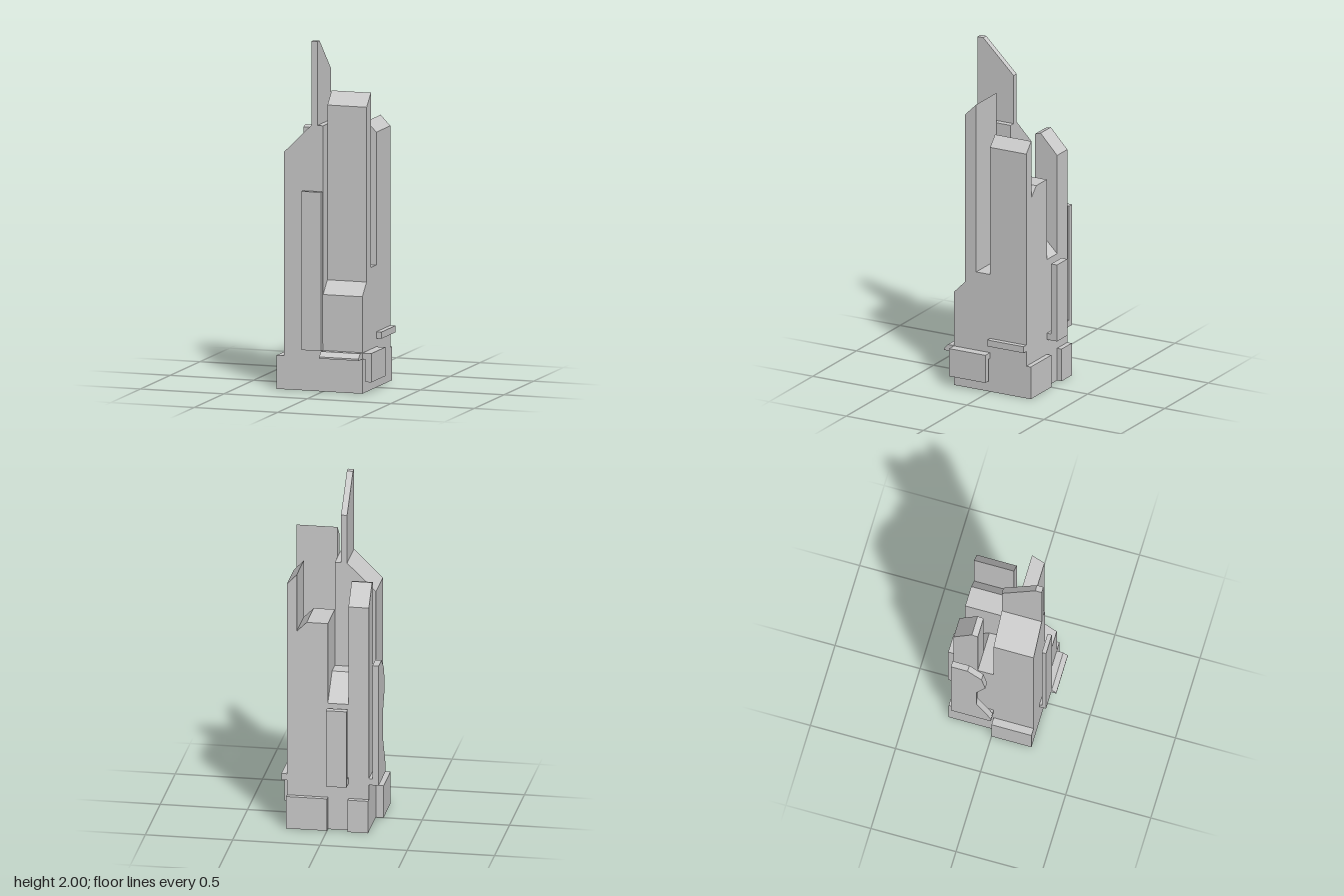
import * as THREE from 'three';

const W = 0.235; // half width of the tower

export function createModel() {
  const group = new THREE.Group();
  group.name = 'tower';
  const stone = new THREE.MeshStandardMaterial({ color: 0xcccccc });
  stone.name = 'light grey stone';

  const add = (name, geometry) => {
    const mesh = new THREE.Mesh(geometry, stone);
    mesh.name = name;
    group.add(mesh);
  };
  const extrude = (points, depth) => new THREE.ExtrudeGeometry(
    new THREE.Shape(points.map(([u, v]) => new THREE.Vector2(u, v))),
    { depth, bevelEnabled: false });

  // profile of (x, y) points, swept from z0 to z1
  const alongZ = (name, z0, z1, points) =>
    add(name, extrude(points, z1 - z0).translate(0, 0, z0));
  // profile of (z, y) points, swept from x0 to x1
  const alongX = (name, x0, x1, points) =>
    add(name, extrude(points, x1 - x0).rotateY(-Math.PI / 2).translate(x1, 0, 0));
  const box = (name, x0, x1, y0, y1, z0, z1) =>
    add(name, new THREE.BoxGeometry(x1 - x0, y1 - y0, z1 - z0)
      .translate((x0 + x1) / 2, (y0 + y1) / 2, (z0 + z1) / 2));

  // front quarter with the stepped slab
  alongX('steppedSlab', 0, W, [
    [0, 0], [W, 0], [W, 0.555], [0.163, 0.628], [0.163, 1.628],
    [0.09, 1.7], [0.09, 0.7], [0, 0.7],
  ]);

  // front quarter with the sloped shoulder and the spire
  alongZ('slopedShoulder', 0, W, [
    [-W, 0], [0, 0], [0, 1.52], [-0.07, 1.52], [-W, 1.357],
  ]);
  alongX('spire', -0.07, -0.035, [
    [0, 1.52], [W, 1.52], [W, 2], [0.197, 2], [0, 1.807],
  ]);

  // back quarter with the thin outer wall
  alongZ('outerWall', -W, 0, [
    [0, 0], [W, 0], [W, 1.46], [0.178, 1.52], [0.178, 1.18],
    [0.121, 1.237], [0, 1.237],
  ]);

  // back quarter with the corner pillar and the low sloped roof
  alongX('cornerPillar', -W, -0.118, [
    [-W, 0], [0, 0], [0, 0.9], [-0.093, 0.9], [-0.093, 1.45],
    [-0.128, 1.46], [-W, 1.345],
  ]);
  alongX('lowRoof', -0.118, 0, [
    [-W, 0], [0, 0], [0, 0.9], [-0.093, 0.9], [-W, 0.758],
  ]);

  // plinth blocks
  box('sidePlinth', -0.279, -W, 0, 0.192, 0, W);
  box('backPlinth', 0, W, 0, 0.192, -0.264, -W);
  box('cornerPlinth', -W, -0.118, 0, 0.192, -0.264, -W);

  // hooked panels standing off the walls
  alongX('frontPanel', -0.117, 0, [
    [W, 0.237], [0.274, 0.237], [0.274, 1.145], [0.249, 1.145], [0.249, 0.275], [W, 0.275],
  ]);
  alongX('backPanel', -0.118, 0, [
    [-W, 0.28], [-0.301, 0.28], [-0.301, 0.737], [-0.263, 0.737], [-0.263, 0.318], [-W, 0.318],
  ]);
  alongZ('sideHook', 0, W, [
    [W, 0.233], [0.289, 0.233], [0.289, 0.068], [0.254, 0.068], [0.254, 0.198], [W, 0.198],
  ]);

  // ledges
  alongX('frontSill', 0, W, [
    [W, 0.198], [0.3, 0.198], [0.3, 0.208], [0.273, 0.235], [W, 0.235],
  ]);
  box('sideLedge', W, 0.266, 0.28, 0.318, -W, 0);

  // side fin with the stepped edge, and its bracket
  alongX('sideFin', -0.291, -0.255, [
    [-W, 0.28], [0, 0.28], [0, 0.318], [-0.085, 0.5], [-0.085, 0.685], [-0.033, 0.797],
    [-0.055, 0.92], [-0.137, 1], [-W, 1],
  ]);
  box('finBracket', -0.255, -W, 0.28, 0.318, -W, 0);

  return group;
}
